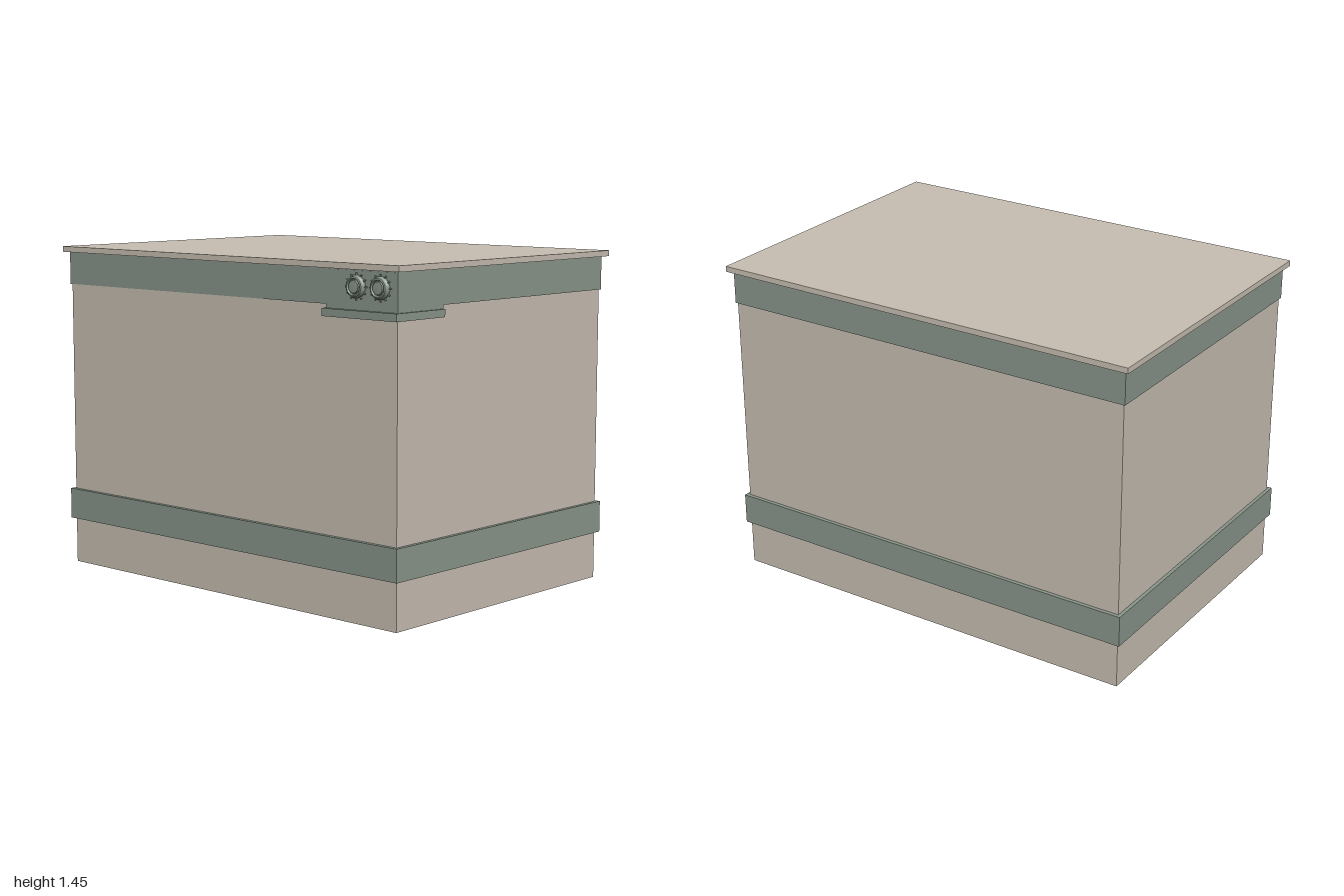
import * as THREE from 'three';

const mat = (name, color) => {
  const m = new THREE.MeshStandardMaterial({ color });
  m.name = name;
  return m;
};

// Box given by its minimum and maximum corners
function slab(name, [x0, y0, z0], [x1, y1, z1], material) {
  const mesh = new THREE.Mesh(new THREE.BoxGeometry(x1 - x0, y1 - y0, z1 - z0), material);
  mesh.name = name;
  mesh.position.set((x0 + x1) / 2, (y0 + y1) / 2, (z0 + z1) / 2);
  return mesh;
}

// Round dial with a raised rim, a central button and small teeth around its base
function dial(material) {
  const group = new THREE.Group();
  const profile = [
    [0.046, 0], [0.046, 0.01], [0.042, 0.016], [0.04, 0.023], [0.034, 0.025],
    [0.03, 0.018], [0.027, 0.018], [0.025, 0.024], [0, 0.025],
  ].map(([r, h]) => new THREE.Vector2(r, h));
  const body = new THREE.LatheGeometry(profile, 32).toNonIndexed();
  body.computeVertexNormals();
  body.rotateX(Math.PI / 2);
  const knob = new THREE.Mesh(body, material);
  knob.name = 'dialBody';
  group.add(knob);

  const tooth = new THREE.BoxGeometry(0.01, 0.005, 0.008);
  for (let i = 0; i < 12; i++) {
    const a = (i / 12) * Math.PI * 2;
    const mark = new THREE.Mesh(tooth, material);
    mark.name = 'dialTooth';
    mark.position.set(Math.cos(a) * 0.05, Math.sin(a) * 0.05, 0.005);
    mark.rotation.z = a;
    group.add(mark);
  }
  return group;
}

export function createModel() {
  const model = new THREE.Group();
  model.name = 'storageChest';
  const beige = mat('beige', 0xc8bfb2);
  const green = mat('greyGreen', 0x8a968b);

  // Cabinet and overhanging lid
  model.add(slab('cabinet', [-0.97, 0, -0.67], [0.97, 1.425, 0.672], beige));
  model.add(slab('lid', [-1, 1.425, -0.7], [1, 1.45, 0.7], beige));

  // Bands around the cabinet
  model.add(slab('upperBand', [-0.979, 1.28, -0.679], [0.975, 1.425, 0.676], green));
  model.add(slab('lowerBand', [-0.986, 0.205, -0.687], [0.986, 0.342, 0.69], green));

  // Control panel and the ledge wrapping the corner below it
  model.add(slab('controlPanel', [0.6, 1.262, 0.4], [0.975, 1.42, 0.678], green));
  model.add(slab('controlLedge', [0.592, 1.232, 0.402], [0.985, 1.264, 0.697], green));

  // Pair of dials
  for (const x of [0.763, 0.889]) {
    const d = dial(green);
    d.name = 'dial';
    d.position.set(x, 1.357, 0.676);
    model.add(d);
  }
  return model;
}
